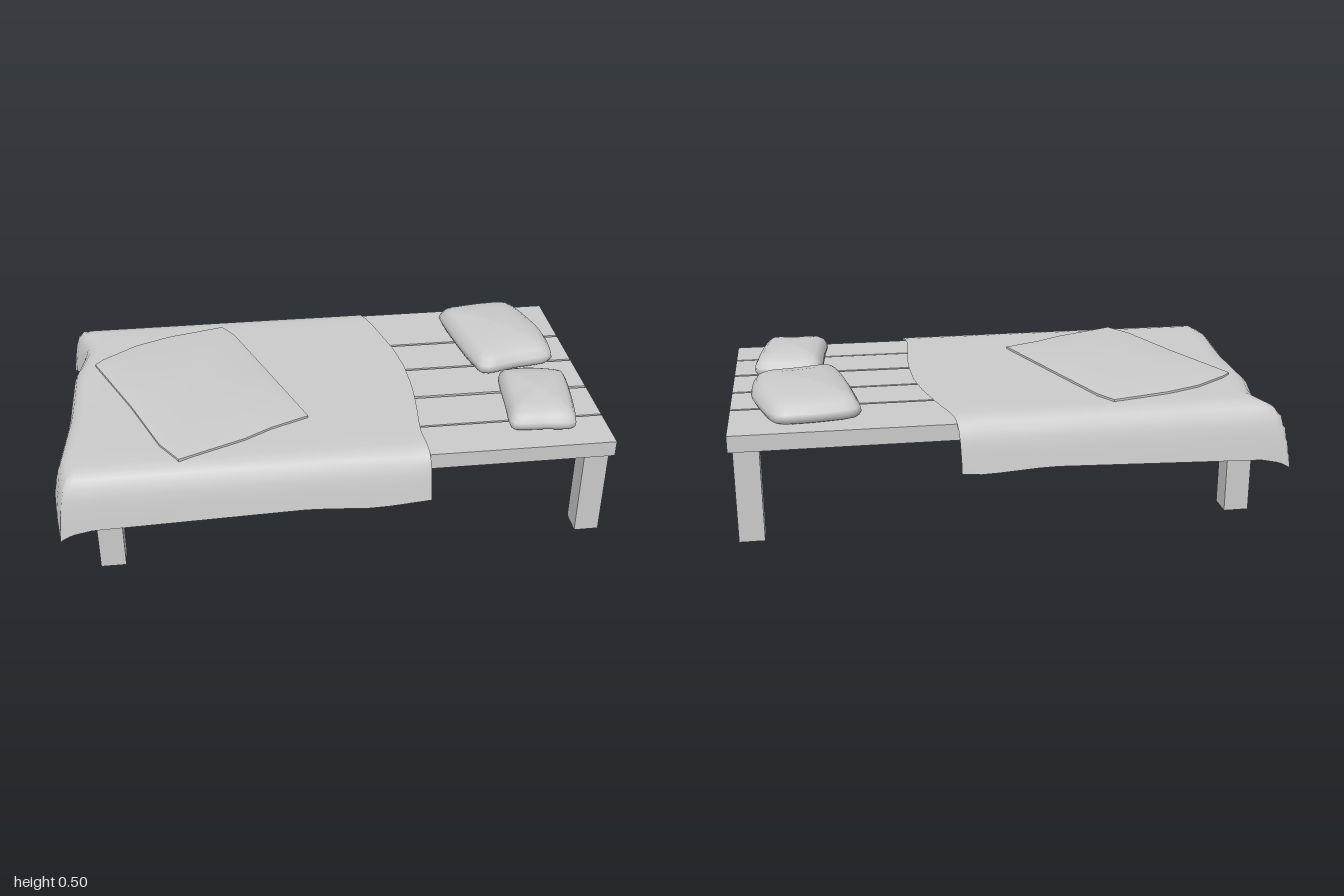
import * as THREE from 'three';
import { toCreasedNormals } from 'three/addons/utils/BufferGeometryUtils.js';

const grey = new THREE.MeshStandardMaterial({ color: 0xcccccc });
const cloth = new THREE.MeshStandardMaterial({ color: 0xcccccc, side: THREE.DoubleSide });

// Value at x of a polyline given as [x, y] points
function along(points, x) {
  if (x <= points[0][0]) return points[0][1];
  for (let i = 1; i < points.length; i++) {
    const [x0, y0] = points[i - 1], [x1, y1] = points[i];
    if (x <= x1) return y0 + (y1 - y0) * (x - x0) / (x1 - x0);
  }
  return points[points.length - 1][1];
}

function indexed(positions, indices) {
  const g = new THREE.BufferGeometry();
  g.setAttribute('position', new THREE.Float32BufferAttribute(positions, 3));
  g.setIndex(indices);
  g.computeVertexNormals();
  return g;
}

// Stacks scaled copies of an outline [x, z]; rings are [scale, y], bottom to top
function stackOutline(outline, rings) {
  const n = outline.length, pos = [], idx = [];
  const cx = outline.reduce((s, p) => s + p[0], 0) / n;
  const cz = outline.reduce((s, p) => s + p[1], 0) / n;
  for (const [s, y] of rings)
    for (const [x, z] of outline) pos.push(cx + (x - cx) * s, y, cz + (z - cz) * s);
  for (let j = 0; j < rings.length - 1; j++)
    for (let i = 0; i < n; i++) {
      const a = j * n + i, b = j * n + (i + 1) % n;
      idx.push(a, a + n, b, b, a + n, b + n);
    }
  return indexed(pos, idx);
}

function add(parent, name, geometry, material = grey) {
  const m = new THREE.Mesh(geometry, material);
  m.name = name;
  parent.add(m);
  return m;
}

function box(parent, name, [x0, x1], [y0, y1], [z0, z1]) {
  add(parent, name, new THREE.BoxGeometry(x1 - x0, y1 - y0, z1 - z0))
    .position.set((x0 + x1) / 2, (y0 + y1) / 2, (z0 + z1) / 2);
}

function blanketGeometry() {
  const top = 0.428;
  const rightEdge = [[-0.57, 0.21], [-0.5, 0.225], [-0.38, 0.265], [-0.2, 0.31], [-0.07, 0.33],
    [0.1, 0.335], [0.25, 0.325], [0.38, 0.31], [0.5, 0.32], [0.57, 0.325]];
  const leftEdge = [[-0.57, -0.98], [-0.5, -0.965], [-0.38, -0.925], [-0.2, -0.965], [0.1, -0.97],
    [0.25, -0.985], [0.4, -1], [0.5, -0.99], [0.57, -0.98]];
  const sideHem = [[-0.985, 0.185], [-0.94, 0.21], [-0.87, 0.225], [-0.1, 0.248], [0.13, 0.232], [0.33, 0.25]];
  const endHem = [[-0.57, 0.185], [-0.5, 0.24], [-0.42, 0.27], [0.42, 0.27], [0.5, 0.24], [0.57, 0.185]];
  // Drape: [distance in from the edge, share of the drop]
  const drape = [[0, 1], [0.006, 0.8], [0.012, 0.6], [0.02, 0.4], [0.032, 0.22],
    [0.05, 0.1], [0.075, 0.03], [0.11, 0]];
  const zs = drape.map(([d, f]) => [0.573 - d, f]);
  const inner = [];
  for (let i = 1; i < 14; i++) inner.push([-0.463 + 0.926 * i / 14, 0]);
  const rows = [...zs.map(([z, f]) => [-z, f]), ...inner, ...[...zs].reverse()];
  const cols = [...drape];
  const flat = 16, count = drape.length + flat;
  const pos = [], idx = [];
  rows.forEach(([z, f], j) => {
    const x0 = along(leftEdge, z), x1 = along(rightEdge, z);
    for (let i = 0; i < count; i++) {
      const t = (i - drape.length + 1) / flat;
      const x = t <= 0 ? x0 + cols[i][0] : x0 + 0.11 + (x1 - x0 - 0.11) * t;
      const g = t <= 0 ? cols[i][1] : 0;
      const ySide = top - f * (top - along(sideHem, x));
      const yEnd = top - g * (top - along(endHem, z));
      pos.push(x, Math.min(ySide, yEnd), z);
      if (i && j) {
        const d = j * count + i, c = d - 1, b = d - count, a = b - 1;
        idx.push(a, c, b, b, c, d);
      }
    }
  });
  return indexed(pos, idx);
}

function pillowGeometry(outline, height) {
  const curve = new THREE.CatmullRomCurve3(outline.map(([x, z]) => new THREE.Vector3(x, 0, z)), true, 'catmullrom', 0.3);
  const smooth = curve.getSpacedPoints(48).slice(0, 48).map(p => [p.x, p.z]);
  const rings = [[0, 0], [0.86, 0], [0.95, 0.1], [1, 0.28], [0.98, 0.45], [0.9, 0.68], [0.78, 0.83], [0.5, 0.95], [0, 1]];
  return stackOutline(smooth, rings.map(([s, h]) => [s, 0.407 + h * height]));
}

export function createModel() {
  const bed = new THREE.Group();
  bed.name = 'bed';

  // Slatted deck
  const deck = new THREE.Group();
  deck.name = 'deck';
  bed.add(deck);
  const planks = [[-0.52, -0.262], [-0.252, -0.07], [-0.06, 0.132], [0.144, 0.331], [0.339, 0.515]];
  for (const z of planks) box(deck, 'plank', [-0.88, 1], [0.345, 0.405], z);

  // Four square legs
  for (const x of [-0.86, 0.895])
    for (const z of [-0.495, 0.405]) box(bed, 'leg', [x, x + 0.09], [0, 0.345], [z, z + 0.09]);

  // Blanket draped over the foot and both sides
  add(bed, 'blanket', blanketGeometry(), cloth);

  // Folded throw lying askew on the blanket
  const throwOutline = [[-0.86, -0.2], [-0.83, -0.235], [-0.7, -0.33], [-0.57, -0.385], [-0.355, -0.44],
    [-0.31, -0.37], [-0.2, -0.07], [-0.08, 0.26], [-0.22, 0.32], [-0.32, 0.38], [-0.555, 0.48], [-0.62, 0.38], [-0.72, 0.12]];
  add(bed, 'throw', toCreasedNormals(stackOutline(throwOutline,
    [[1, 0.425], [1, 0.436], [0.9, 0.441], [0.5, 0.444], [0, 0.456]]), 0.6), cloth);

  // Two pillows at the head
  add(bed, 'largePillow', pillowGeometry([[0.54, -0.415], [0.575, -0.45], [0.7, -0.472], [0.825, -0.475],
    [0.868, -0.41], [0.915, -0.25], [0.926, -0.16], [0.908, -0.03], [0.76, 0], [0.625, 0.03], [0.585, -0.09], [0.558, -0.25]], 0.097));
  add(bed, 'smallPillow', pillowGeometry([[0.68, 0.06], [0.79, 0.055], [0.912, 0.09], [0.918, 0.16], [0.9, 0.3],
    [0.868, 0.435], [0.76, 0.43], [0.64, 0.415], [0.648, 0.28], [0.66, 0.14]], 0.087));

  return bed;
}
